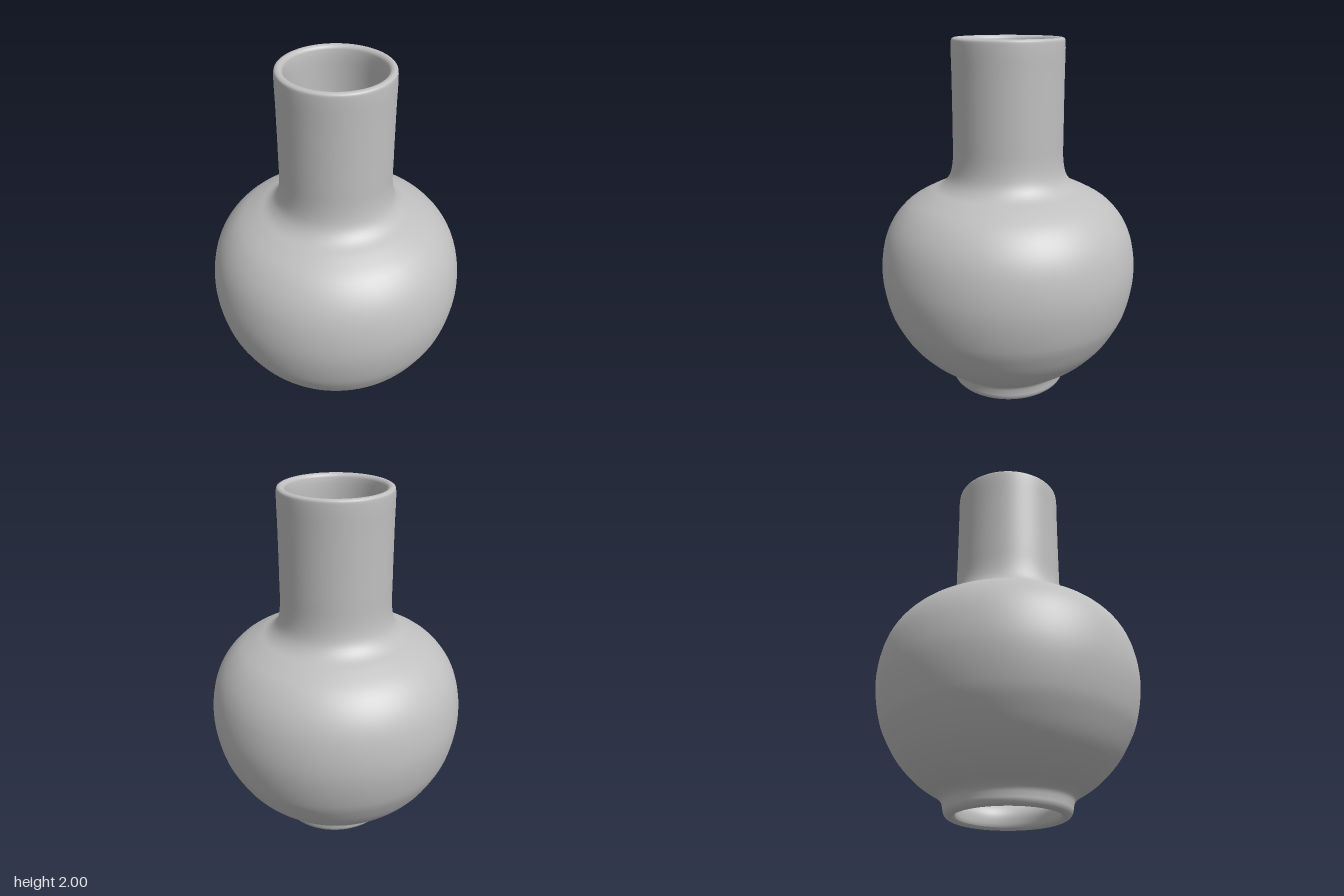
import * as THREE from 'three';

const clay = new THREE.MeshStandardMaterial({ color: 0xbfbfbf });
clay.name = 'grey clay';

// Closed wall section [radius, height]: up the outside, over the rim, down the inside
const section = [
  [0.275, 0.015], [0.295, 0.002], [0.318, 0.008], [0.333, 0.03], [0.338, 0.06], [0.347, 0.095],
  [0.372, 0.122], [0.42, 0.152], [0.485, 0.2], [0.577, 0.3], [0.637, 0.4], [0.68, 0.5], [0.714, 0.7],
  [0.694, 0.88], [0.645, 1.0], [0.56, 1.1], [0.45, 1.165], [0.375, 1.2], [0.33, 1.25],
  [0.309, 1.33], [0.305, 1.5], [0.304, 1.8], [0.304, 1.975], [0.3, 1.993], [0.285, 2.0],
  [0.27, 1.996], [0.259, 1.98], [0.256, 1.8], [0.256, 1.5], [0.26, 1.3],
  [0.29, 1.2], [0.36, 1.15], [0.45, 1.1], [0.54, 1.04], [0.61, 0.95], [0.65, 0.84], [0.664, 0.7],
  [0.635, 0.52], [0.565, 0.37], [0.46, 0.25], [0.36, 0.175], [0.295, 0.13], [0.272, 0.09], [0.268, 0.05],
];

export function createModel() {
  const group = new THREE.Group();
  group.name = 'vase';

  const curve = new THREE.CatmullRomCurve3(
    section.map(([r, y]) => new THREE.Vector3(r, y, 0)), true, 'centripetal');
  const profile = curve.getPoints(section.length * 4).map(p => new THREE.Vector2(p.x, p.y));
  const geometry = new THREE.LatheGeometry(profile, 96);

  // Hand-thrown irregularity: a slightly deeper belly and a foot that lifts on one side
  const pos = geometry.attributes.position;
  for (let i = 0; i < pos.count; i++) {
    const x = pos.getX(i), y = pos.getY(i), z = pos.getZ(i);
    const belly = THREE.MathUtils.smoothstep(y, 0, 0.4) * (1 - THREE.MathUtils.smoothstep(y, 1.0, 1.3));
    const low = 1 - THREE.MathUtils.smoothstep(y, 0, 0.1);
    pos.setY(i, y + low * 0.009 * (1 - x / 0.32));
    pos.setZ(i, z * (1 + 0.014 * belly));
  }

  const wall = new THREE.Mesh(geometry, clay);
  wall.name = 'vaseWall';
  group.add(wall);
  return group;
}
